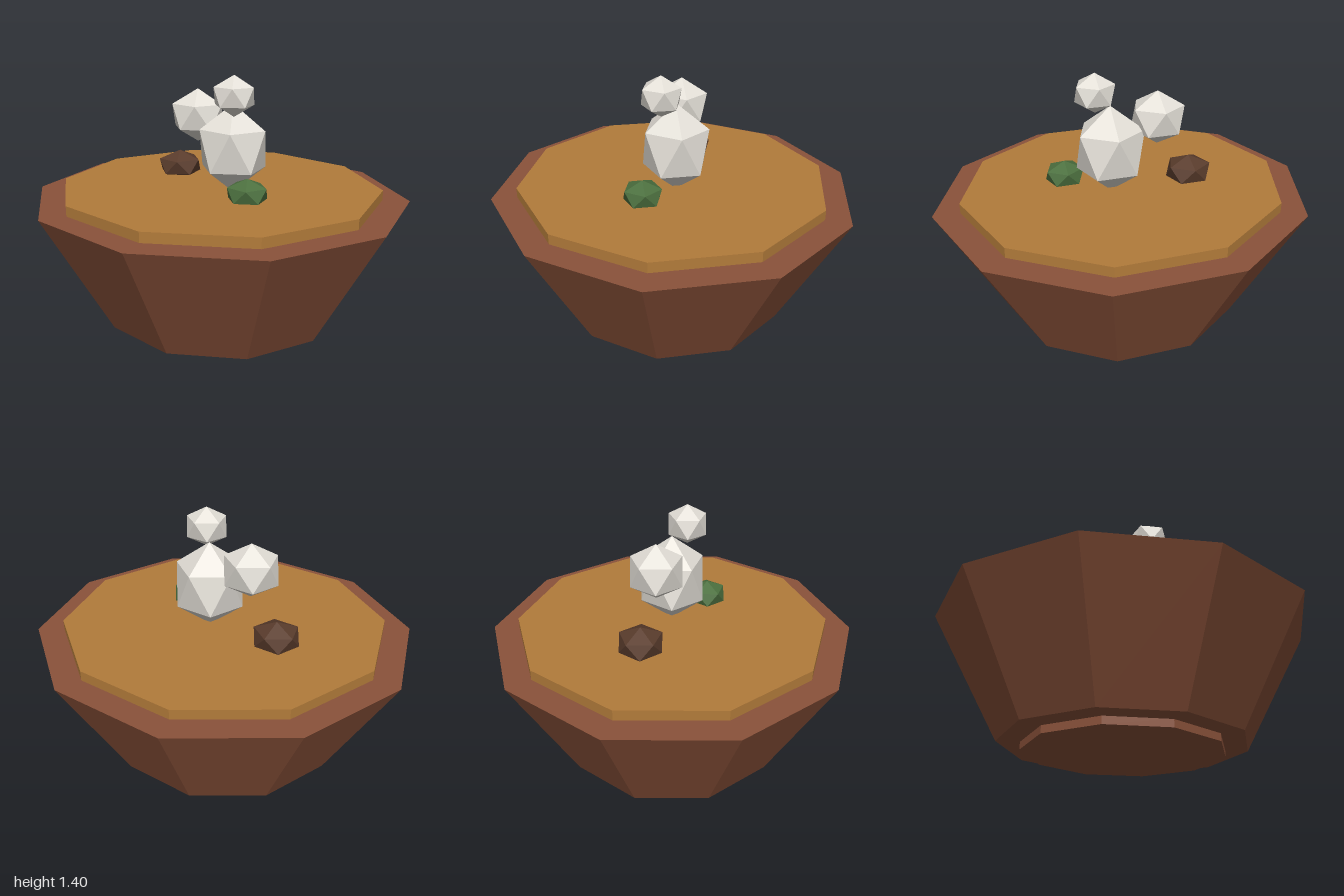
import * as THREE from 'three';

const SIDES = 10;
const STRETCH = 1 / Math.sin(THREE.MathUtils.degToRad(72)); // widens the decagon to equal width and depth

function flat(color) {
  return new THREE.MeshStandardMaterial({ color, flatShading: true });
}

// Ten-sided slab or bowl section between two heights
function tier(name, rTop, rBottom, y0, y1, material) {
  const mesh = new THREE.Mesh(new THREE.CylinderGeometry(rTop, rBottom, y1 - y0, SIDES), material);
  mesh.name = name;
  mesh.position.y = (y0 + y1) / 2;
  mesh.scale.x = STRETCH;
  return mesh;
}

// Icosahedron standing on a corner, with an upper corner towards +x
function lump(name, [x, y, z], radius, halfHeight, material) {
  const geometry = new THREE.IcosahedronGeometry(1, 0);
  geometry.rotateX(-Math.atan((1 + Math.sqrt(5)) / 2));
  geometry.rotateY(Math.PI / 2);
  const mesh = new THREE.Mesh(geometry, material);
  mesh.name = name;
  mesh.position.set(x, y, z);
  mesh.scale.set(radius * STRETCH, halfHeight, radius);
  return mesh;
}

export function createModel() {
  const model = new THREE.Group();
  model.name = 'bowl';
  const clay = flat(0x8b523a);
  const steam = flat(0xe4e0d8);

  // Bowl, foot and filling
  model.add(
    tier('foot', 0.52, 0.52, 0, 0.04, clay),
    tier('bowlBody', 1, 0.64, 0.04, 0.72, clay),
    tier('filling', 0.86, 0.86, 0.70, 0.775, flat(0xb27b3a))
  );

  // Pieces resting in the filling
  model.add(
    lump('brownChunk', [-0.335, 0.82, -0.16], 0.131, 0.088, flat(0x5a3c2c)),
    lump('greenChunk', [0.254, 0.81, 0.205], 0.115, 0.078, flat(0x4c703f))
  );

  // Rising puffs of steam
  model.add(
    lump('largePuff', [0.082, 0.99, 0], 0.2, 0.246, steam),
    lump('middlePuff', [-0.171, 1.143, -0.08], 0.157, 0.15, steam),
    lump('smallPuff', [0.123, 1.29, 0.083], 0.118, 0.11, steam)
  );
  return model;
}
